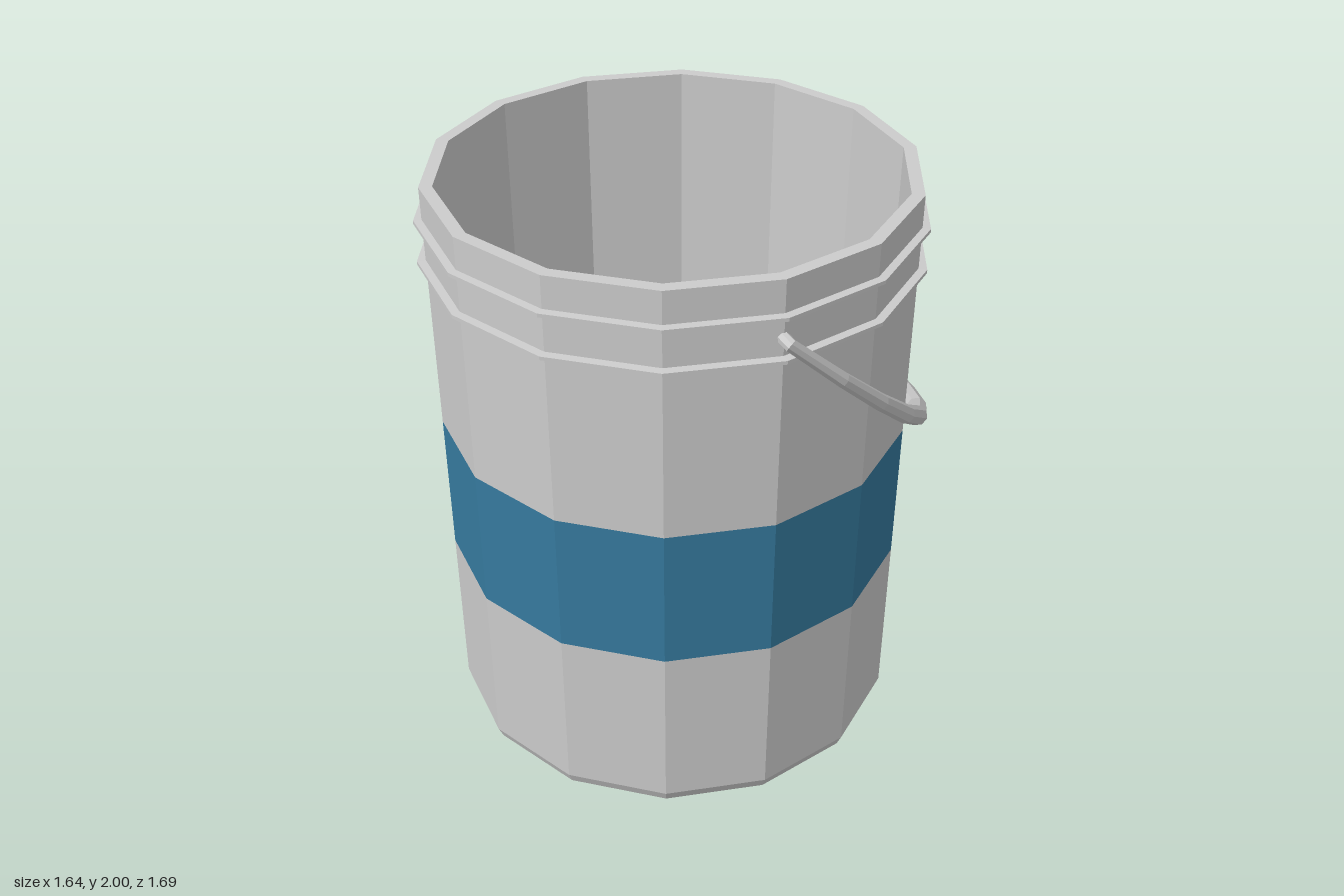
import * as THREE from 'three';

const SIDES = 14;
const CX = -0.035; // bucket axis, offset to balance the swung handle
const grey = new THREE.MeshStandardMaterial({ color: 0xcccccc, flatShading: true });
const blue = new THREE.MeshStandardMaterial({ color: 0x367a9e, flatShading: true });

// Faceted surface of revolution from [radius, height] pairs
function lathe(name, profile, material) {
  const points = profile.map(([r, y]) => new THREE.Vector2(r, y));
  const mesh = new THREE.Mesh(new THREE.LatheGeometry(points, SIDES), material);
  mesh.name = name;
  mesh.position.x = CX;
  return mesh;
}

// Tapered tube along a path lying in one plane with the given normal, mitred at its corners
function planarTube(path, radii, normal, sides) {
  const positions = [];
  const index = [];
  const last = path.length - 1;
  path.forEach((p, i) => {
    const before = path[Math.max(i, 1)].clone().sub(path[Math.max(i, 1) - 1]).normalize();
    const k = Math.min(i, last - 1);
    const after = path[k + 1].clone().sub(path[k]).normalize();
    const tangent = before.clone().add(after).normalize();
    const side = tangent.clone().cross(normal).multiplyScalar(1 / tangent.dot(before));
    for (let j = 0; j < sides; j++) {
      const a = ((j + 0.5) / sides) * Math.PI * 2;
      const v = p.clone()
        .addScaledVector(normal, radii[i] * Math.cos(a))
        .addScaledVector(side, radii[i] * Math.sin(a));
      positions.push(v.x, v.y, v.z);
    }
  });
  for (let i = 0; i < last; i++) {
    for (let j = 0; j < sides; j++) {
      const a = i * sides + j;
      const b = i * sides + ((j + 1) % sides);
      index.push(a, b, a + sides, b, b + sides, a + sides);
    }
  }
  // End caps
  for (let j = 1; j < sides - 1; j++) {
    const e = last * sides;
    index.push(0, j + 1, j, e, e + j, e + j + 1);
  }
  const geometry = new THREE.BufferGeometry();
  geometry.setAttribute('position', new THREE.Float32BufferAttribute(positions, 3));
  geometry.setIndex(index);
  geometry.computeVertexNormals();
  return geometry;
}

// Half-hoop handle with short pegs into the wall, thickest at the grip
function makeHandle() {
  const pivotY = 1.81, reach = 0.815, drop = 0.755, halfWidth = 0.825;
  const path = [new THREE.Vector3(CX, pivotY, 0.77)];
  const radii = [0.02];
  for (let i = 0; i <= SIDES; i++) {
    const t = (i / SIDES) * Math.PI;
    const s = Math.sin(t);
    path.push(new THREE.Vector3(CX + reach * s, pivotY - drop * s, halfWidth * Math.cos(t)));
    radii.push(0.02 + 0.017 * s);
  }
  path.push(new THREE.Vector3(CX, pivotY, -0.77));
  radii.push(0.02);
  const normal = new THREE.Vector3(drop, reach, 0).normalize();
  const handle = new THREE.Mesh(planarTube(path, radii, normal, 8), grey);
  handle.name = 'handle';
  return handle;
}

export function createModel() {
  const bucket = new THREE.Group();
  bucket.name = 'bucket';

  // Outer wall with bevelled base, coloured band, then upper wall, rim and interior
  bucket.add(lathe('lowerWall', [[0, 0], [0.722, 0], [0.75, 0.02], [0.767, 0.06], [0.772, 0.655]], grey));
  bucket.add(lathe('colourBand', [[0.772, 0.655], [0.776, 1.15]], blue));
  bucket.add(lathe('upperWallAndInterior',
    [[0.776, 1.15], [0.783, 2], [0.741, 2], [0.722, 0.06], [0.71, 0.04], [0, 0.04]], grey));

  // Thin stiffening ridges below the rim
  [1.885, 1.745].forEach((y, i) => {
    const ridge = [[0.775, y - 0.008], [0.808, y - 0.006], [0.808, y + 0.006], [0.775, y + 0.008]];
    bucket.add(lathe(i ? 'lowerRidge' : 'upperRidge', ridge, grey));
  });

  bucket.add(makeHandle());
  return bucket;
}
